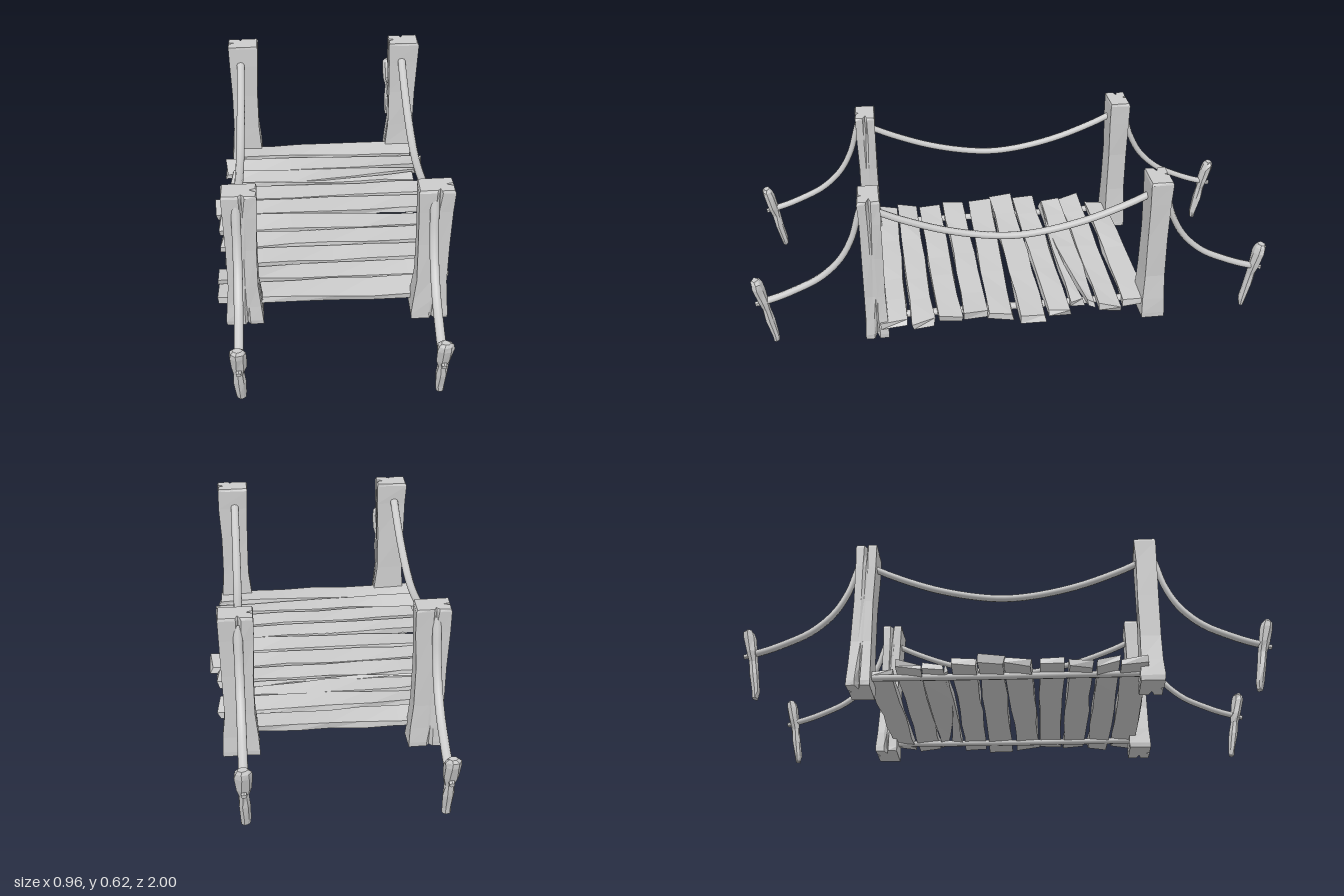
import * as THREE from 'three';

const material = new THREE.MeshStandardMaterial({ color: 0xcccccc, side: THREE.DoubleSide });
const flat = new THREE.MeshStandardMaterial({ color: 0xcccccc, flatShading: true, side: THREE.DoubleSide });

// Small seeded noise in -1..1
let seed = 7;
function rnd() {
  seed = (seed * 16807) % 2147483647;
  return (seed / 2147483647) * 2 - 1;
}

function add(parent, name, geometry, mat) {
  const mesh = new THREE.Mesh(geometry, mat);
  mesh.name = name;
  parent.add(mesh);
  return mesh;
}

// Skin a stack of horizontal rings (bottom to top) and cap both ends
function loft(rings) {
  const n = rings[0].length;
  const index = [];
  for (let r = 0; r < rings.length - 1; r++) {
    for (let i = 0; i < n; i++) {
      const a = r * n + i, b = r * n + (i + 1) % n;
      index.push(a, a + n, b, b, a + n, b + n);
    }
  }
  const cap = (ring) => THREE.ShapeUtils.triangulateShape(ring.map((p) => new THREE.Vector2(p.x, p.z)), []);
  const top = (rings.length - 1) * n;
  for (const [a, b, c] of cap(rings[0])) index.push(a, b, c);
  for (const [a, b, c] of cap(rings[rings.length - 1])) index.push(top + a, top + c, top + b);
  const g = new THREE.BufferGeometry();
  g.setAttribute('position', new THREE.Float32BufferAttribute(rings.flat().flatMap((p) => [p.x, p.y, p.z]), 3));
  g.setIndex(index);
  g.computeVertexNormals();
  return g;
}

// Flared post with splits in one side and one face
function postGeometry() {
  // y, half width, half depth, side split, face split
  const levels = [
    [0.025, 0.069, 0.044, 0.5, 0.3],
    [0.045, 0.07, 0.045, 0.45, 0.25],
    [0.11, 0.065, 0.042, 0.12, 0.05],
    [0.21, 0.056, 0.039, 0.02, 0.02],
    [0.38, 0.057, 0.038, 0.02, 0.02],
    [0.53, 0.062, 0.039, 0.12, 0.06],
    [0.615, 0.064, 0.041, 0.4, 0.35],
    [0.625, 0.06, 0.038, 0.4, 0.35],
  ];
  return loft(levels.map(([y, hx, hz, side, face]) => {
    const outline = [
      [-1, -1], [1, -1], [1, -0.2], [1 - side, 0], [1, 0.25],
      [1, 1], [0.3, 1], [0.15, 1 - face], [0, 1], [-1, 1],
    ];
    return outline.map(([x, z]) => new THREE.Vector3(
      x * hx + rnd() * 0.002, y, z * hz + rnd() * 0.002));
  }));
}

// Rough leaning stake, leaning outward towards +z
function stakeGeometry() {
  // y, z, half width, half depth
  const levels = [
    [0.002, 0.929, 0.015, 0.01], [0.03, 0.931, 0.019, 0.015], [0.1, 0.945, 0.023, 0.018],
    [0.15, 0.953, 0.018, 0.017], [0.19, 0.962, 0.027, 0.021], [0.25, 0.975, 0.031, 0.024],
    [0.272, 0.979, 0.028, 0.021], [0.284, 0.982, 0.017, 0.012],
  ];
  return loft(levels.map(([y, z, rx, rz]) => Array.from({ length: 7 }, (_, i) => {
    const a = (i / 7) * Math.PI * 2;
    return new THREE.Vector3(Math.cos(a) * rx + rnd() * 0.003, y, z + Math.sin(a) * rz + rnd() * 0.002);
  })));
}

// Rope through [y, z] points, slightly flattened
function rope(parent, name, x, points, segments) {
  const curve = new THREE.CatmullRomCurve3(points.map(([y, z]) => new THREE.Vector3(0, y, z)));
  const mesh = add(parent, name, new THREE.TubeGeometry(curve, segments, 0.0125, 8), material);
  mesh.position.x = x;
  mesh.scale.x = 1.35;
  return mesh;
}

// Warped board; zAt(x, side) gives its two long edges
function plankGeometry(x0, x1, zAt) {
  const g = new THREE.BoxGeometry(x1 - x0, 0.026, 2, 6, 1, 1);
  const p = g.attributes.position;
  const twist = rnd() * 0.008;
  const lift = rnd() * 0.003;
  const moved = new Map();
  for (let i = 0; i < p.count; i++) {
    const key = [p.getX(i), p.getY(i), p.getZ(i)].map((v) => v.toFixed(3)).join();
    if (!moved.has(key)) {
      const x = p.getX(i) + (x0 + x1) / 2;
      const side = Math.sign(p.getZ(i));
      const end = Math.abs(p.getX(i)) > (x1 - x0) * 0.49 ? 0.01 : 0.004;
      moved.set(key, [
        x + rnd() * end,
        0.093 + p.getY(i) + lift + side * twist * (x / 0.4) + rnd() * 0.004,
        zAt(x, side) + rnd() * 0.005,
      ]);
    }
    p.setXYZ(i, ...moved.get(key));
  }
  return g;
}

export function createModel() {
  const model = new THREE.Group();

  // Corner posts
  for (const sx of [-1, 1]) for (const sz of [-1, 1]) {
    const post = add(model, 'post', postGeometry().toNonIndexed(), flat);
    post.position.set(sx < 0 ? -0.345 : 0.355, 0, sz * 0.54);
    if (sz < 0) post.rotation.y = Math.PI;
  }

  // Ropes on both sides, with an end stake and knot at each end
  for (const x of [-0.357, 0.348]) {
    rope(model, 'handRope', x, [
      [0.548, 0.52], [0.51, 0.44], [0.45, 0.28], [0.413, 0.12], [0.402, 0],
      [0.413, -0.12], [0.45, -0.28], [0.51, -0.44], [0.548, -0.52],
    ], 32);
    rope(model, 'deckRope', x, [[0.078, 0.54], [0.076, 0], [0.078, -0.54]], 8);

    for (const front of [true, false]) {
      const anchor = new THREE.Group();
      anchor.name = front ? 'frontAnchor' : 'backAnchor';
      anchor.position.x = x;
      if (!front) anchor.rotation.y = Math.PI;
      model.add(anchor);
      rope(anchor, 'anchorRope', 0, [
        [0.59, 0.565], [0.53, 0.583], [0.44, 0.61], [0.35, 0.66],
        [0.275, 0.74], [0.225, 0.84], [0.198, 0.91], [0.185, 0.955],
      ], 24);
      add(anchor, 'stake', stakeGeometry(), flat);
      // Short rope tail behind the stake
      const tail = add(anchor, 'ropeTail', new THREE.CylinderGeometry(0.01, 0.012, 0.035, 6), flat);
      tail.rotation.x = Math.PI / 2 + 0.2;
      tail.position.set(0, 0.178, 0.973);
    }
  }

  // Deck planks: left end, right end, back edge, front edge
  const planks = [
    [-0.37, 0.40, -0.515, -0.425], [-0.44, 0.435, -0.405, -0.315],
    [-0.41, 0.40, -0.31, -0.215], [-0.45, 0.44, -0.2, -0.11],
    [-0.475, 0.47, -0.1, -0.005], [-0.455, 0.43, 0.01, 0.105],
    [-0.44, 0.42, 0.12, 0.21], [-0.42, 0.425, 0.225, 0.315],
    [-0.45, 0.445, 0.33, 0.415], [-0.44, 0.435, 0.425, 0.525],
  ];
  planks.forEach(([x0, x1, z0, z1], i) => {
    const slope = rnd() * 0.012;
    const edge = (x, side) => (side < 0 ? z0 : z1) + slope * (x / 0.4);
    if (i !== 2) {
      add(model, 'plank', plankGeometry(x0, x1, edge), flat);
      return;
    }
    // One plank is split by a long wedge-shaped crack
    const crack = (x) => -0.225 - 0.045 * Math.max(0, x) / 0.4;
    const gap = (x) => 0.014 * Math.max(0, x) / 0.4;
    add(model, 'splitPlankBack', plankGeometry(x0, x1, (x, s) => (s < 0 ? z0 : crack(x) - gap(x))), flat);
    add(model, 'splitPlankFront', plankGeometry(x0 + 0.02, x1 - 0.01, (x, s) => (s < 0 ? crack(x) : z1)), flat);
  });

  return model;
}
